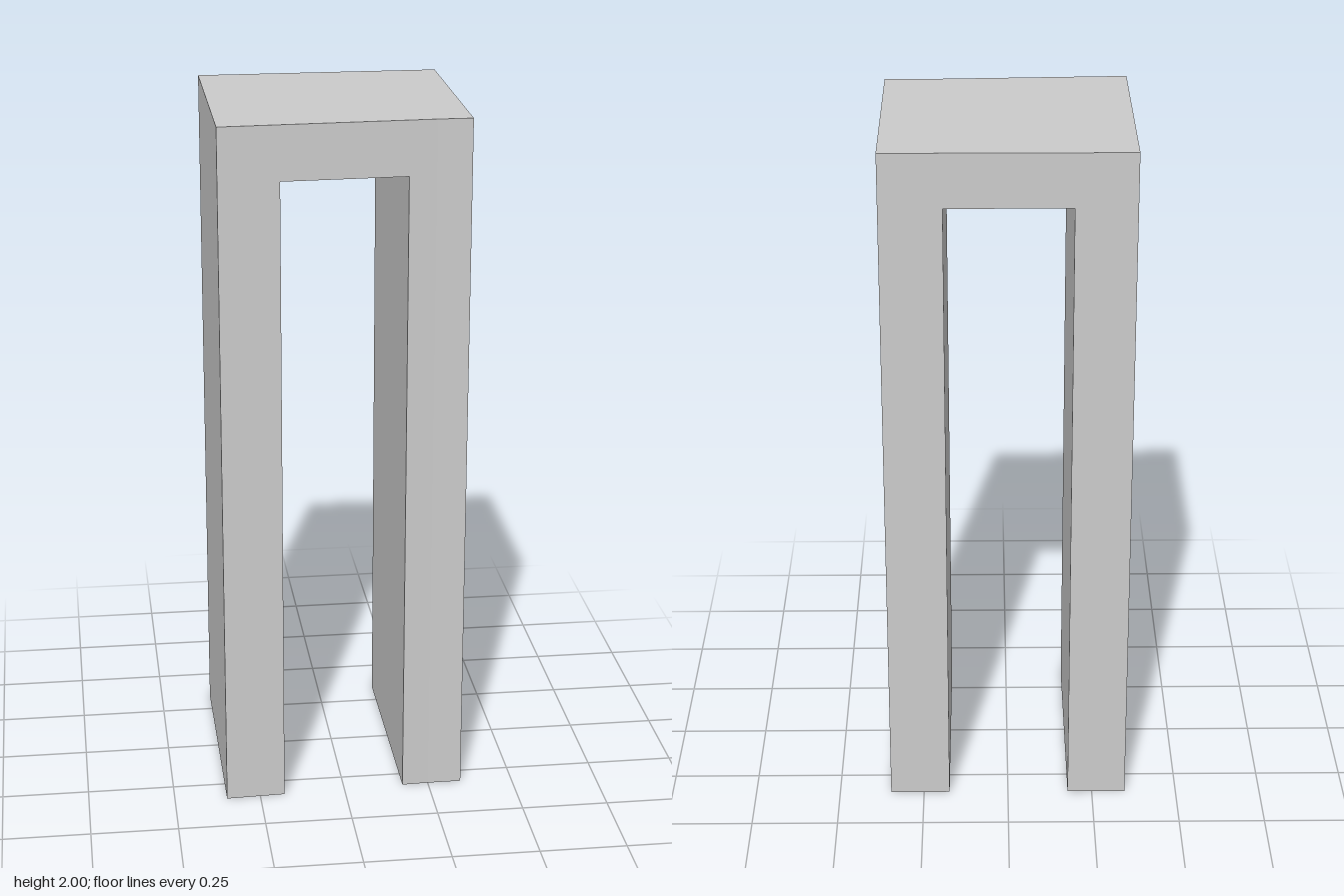
import * as THREE from 'three';

// Front face depth: slants gently, then runs straight near the left edge
const frontZ = (x) => (x >= 0.25 ? 0.315 : 0.315 + (0.025 * (0.25 - x)) / 0.598);
const BACK = -0.341;
const TOP = 2;
const SOFFIT = 1.845;

// Spans across the width: [x start, x end, underside height]
const spans = [
  [-0.348, -0.178, 0],
  [-0.178, 0.174, SOFFIT],
  [0.174, 0.25, 0],
  [0.25, 0.348, 0],
];

export function createModel() {
  const positions = [];
  // Corners run counter-clockwise seen from outside
  const quad = (a, b, c, d) => positions.push(...a, ...b, ...c, ...a, ...c, ...d);

  // Front, back, top and underside of each span
  for (const [x0, x1, y] of spans) {
    const z0 = frontZ(x0);
    const z1 = frontZ(x1);
    quad([x0, y, z0], [x1, y, z1], [x1, TOP, z1], [x0, TOP, z0]);
    quad([x1, y, BACK], [x0, y, BACK], [x0, TOP, BACK], [x1, TOP, BACK]);
    quad([x0, TOP, z0], [x1, TOP, z1], [x1, TOP, BACK], [x0, TOP, BACK]);
    quad([x0, y, BACK], [x1, y, BACK], [x1, y, z1], [x0, y, z0]);
  }

  // Upright walls: outer sides and the inner faces of the opening
  const wall = (x, top, facing) => {
    const near = facing > 0 ? frontZ(x) : BACK;
    const far = facing > 0 ? BACK : frontZ(x);
    quad([x, 0, near], [x, 0, far], [x, top, far], [x, top, near]);
  };
  wall(-0.348, TOP, -1);
  wall(-0.178, SOFFIT, 1);
  wall(0.174, SOFFIT, -1);
  wall(0.348, TOP, 1);

  const geometry = new THREE.BufferGeometry();
  geometry.setAttribute('position', new THREE.Float32BufferAttribute(positions, 3));
  geometry.computeVertexNormals();

  const arch = new THREE.Mesh(
    geometry,
    new THREE.MeshStandardMaterial({ color: 0xcccccc, flatShading: true })
  );
  arch.name = 'squareArch';

  const group = new THREE.Group();
  group.name = 'archway';
  group.add(arch);
  return group;
}
